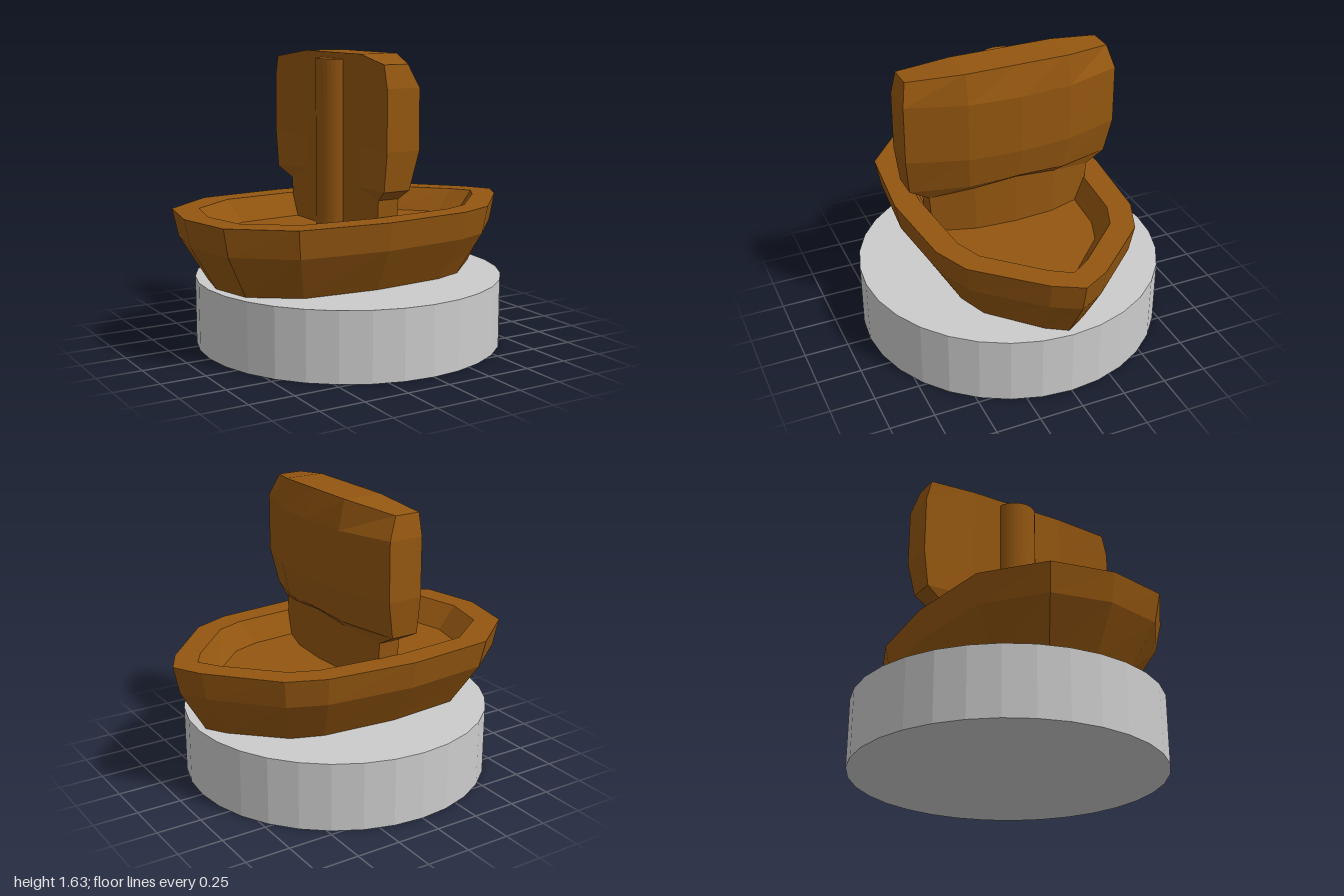
import * as THREE from 'three';

// Joins stacked rings of [x, y, z] points (counter-clockwise from above) and caps both ends with strips.
function loft(rings) {
  const pos = [];
  const quad = (a, b, c, d) => pos.push(...a, ...b, ...c, ...a, ...c, ...d);
  const n = rings[0].length;
  for (let r = 0; r < rings.length - 1; r++) {
    for (let i = 0; i < n; i++) {
      const j = (i + 1) % n;
      quad(rings[r][i], rings[r][j], rings[r + 1][j], rings[r + 1][i]);
    }
  }
  const first = rings[0], last = rings[rings.length - 1];
  for (let i = 0; i < n / 2 - 1; i++) {
    quad(last[i], last[i + 1], last[n - 2 - i], last[n - 1 - i]);
    quad(first[n - 1 - i], first[n - 2 - i], first[i + 1], first[i]);
  }
  const geo = new THREE.BufferGeometry();
  geo.setAttribute('position', new THREE.Float32BufferAttribute(pos, 3));
  geo.computeVertexNormals();
  return geo;
}

// Half outline of the boat from bow to stern, mirrored into a full ring
function hullRing(half, y, sx = 1, sz = 1, shift = 0.007) {
  const inner = half.slice(1, -1);
  return [
    ...half.map(([x, z]) => [x * sx, y, -z * sz + shift]),
    ...inner.reverse().map(([x, z]) => [x * sx, y, z * sz + shift]),
  ];
}

// One level of the curved sail: y and front x are given at [centre, middle, end]
function sailRing({ y, front, backEnd, midZ, endZ }) {
  const cols = [[2, endZ], [1, midZ], [0, 0], [1, -midZ], [2, -endZ]];
  const back = [-0.1, -0.1, backEnd];
  return [
    ...cols.map(([k, z]) => [front[k], y[k], z]),
    ...cols.slice().reverse().map(([k, z]) => [back[k], y[k], z]),
  ];
}

export function createModel() {
  const model = new THREE.Group();
  const wood = new THREE.MeshStandardMaterial({ color: 0x935610, flatShading: true });
  wood.name = 'brown';
  const grey = new THREE.MeshStandardMaterial({ color: 0xcccccc, flatShading: true });
  grey.name = 'light grey';

  const add = (name, geo, mat) => {
    const mesh = new THREE.Mesh(geo, mat);
    mesh.name = name;
    model.add(mesh);
    return mesh;
  };

  // Round base
  add('base', new THREE.CylinderGeometry(0.865, 0.865, 0.384, 32), grey).position.y = 0.192;

  // Hull with a sunken deck
  const outer = [[1, 0], [0.915, 0.155], [0.61, 0.49], [0.4, 0.578], [-0.115, 0.63], [-0.63, 0.58], [-0.93, 0.337], [-1, 0]];
  const lip = [[0.855, 0], [0.785, 0.11], [0.525, 0.383], [0.37, 0.445], [-0.12, 0.485], [-0.545, 0.45], [-0.8, 0.263], [-0.86, 0]];
  const deck = [[0.75, 0], [0.69, 0.1], [0.455, 0.332], [0.3, 0.39], [-0.12, 0.423], [-0.48, 0.388], [-0.7, 0.228], [-0.75, 0]];
  add('hull', loft([
    hullRing(outer, 0.385, 0.825, 0.725),
    hullRing(outer, 0.625, 0.967, 0.955),
    hullRing(outer, 0.78),
    hullRing(lip, 0.78),
    hullRing(deck, 0.65),
  ]), wood);

  // Billowing sail on its narrower foot
  add('sail', loft([
    { y: [0.645, 0.645, 0.645], front: [0.11, 0.095, 0.025], backEnd: -0.1, midZ: 0.23, endZ: 0.465 },
    { y: [0.94, 0.915, 0.87], front: [0.11, 0.095, 0.025], backEnd: -0.1, midZ: 0.24, endZ: 0.48 },
    { y: [0.97, 0.953, 0.93], front: [0.15, 0.13, 0.02], backEnd: -0.135, midZ: 0.28, endZ: 0.59 },
    { y: [1.14, 1.14, 1.14], front: [0.185, 0.165, 0.063], backEnd: -0.135, midZ: 0.295, endZ: 0.617 },
    { y: [1.465, 1.465, 1.465], front: [0.185, 0.165, 0.063], backEnd: -0.135, midZ: 0.295, endZ: 0.615 },
    { y: [1.628, 1.628, 1.585], front: [0.13, 0.13, 0.01], backEnd: -0.135, midZ: 0.295, endZ: 0.585 },
  ].map(sailRing)), wood);

  // Mast behind the sail
  add('mast', new THREE.CylinderGeometry(0.118, 0.118, 0.95, 32), wood).position.set(-0.072, 1.12, 0);

  return model;
}
